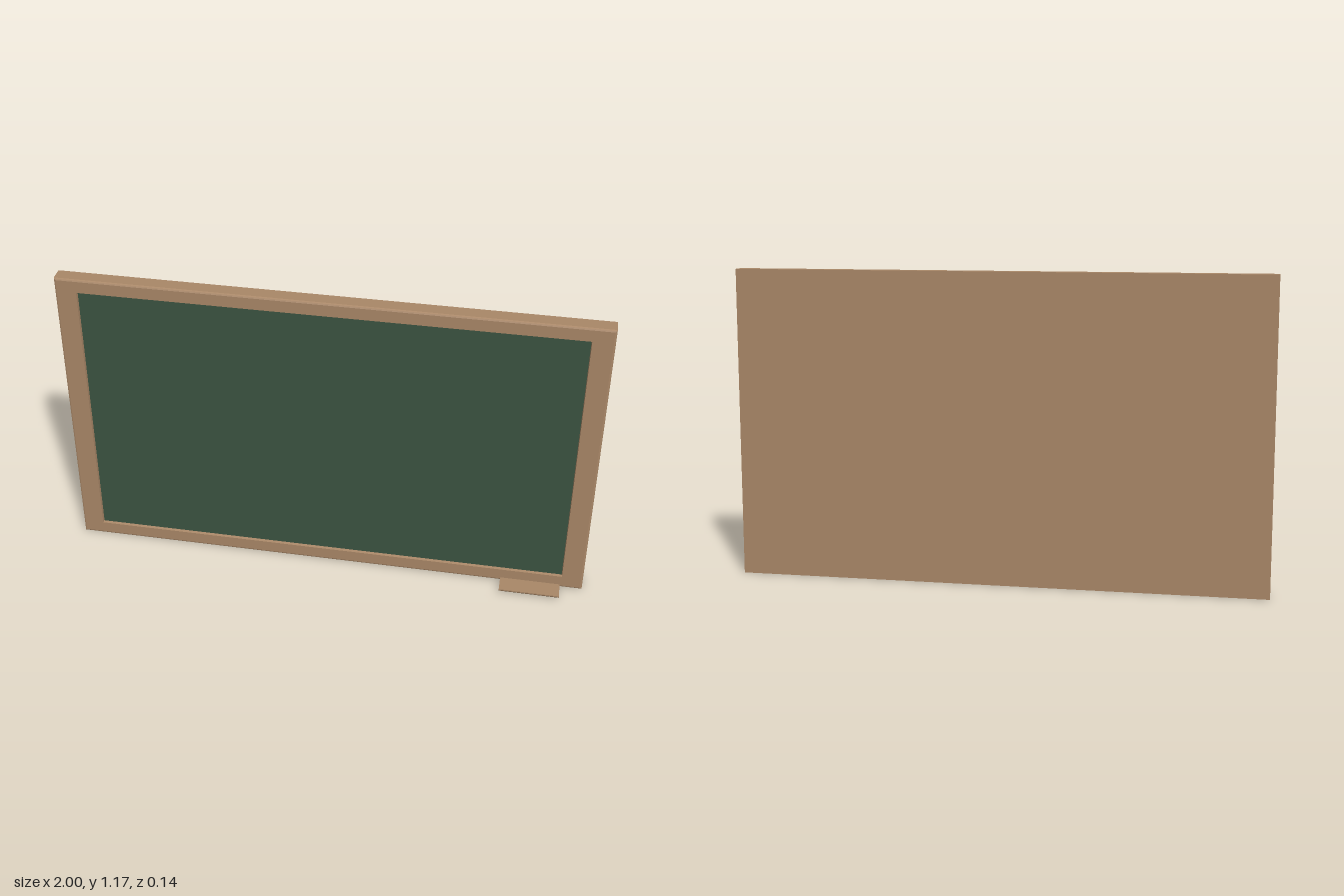
import * as THREE from 'three';

const H = 1.17;

// rectangular ring of four corners, counter-clockwise seen from the front
function ring(insetX, insetY, z) {
  const x = 1 - insetX, y0 = insetY, y1 = H - insetY;
  return [[-x, y0, z], [x, y0, z], [x, y1, z], [-x, y1, z]];
}

// joins successive rings with flat quads
function loftRings(rings, capBack) {
  const pos = [];
  const quad = (a, b, c, d) => pos.push(...a, ...b, ...c, ...a, ...c, ...d);
  for (let r = 0; r < rings.length - 1; r++) {
    const p = rings[r], q = rings[r + 1];
    for (let i = 0; i < 4; i++) {
      const j = (i + 1) % 4;
      quad(p[i], p[j], q[j], q[i]);
    }
  }
  if (capBack) quad(rings[0][3], rings[0][2], rings[0][1], rings[0][0]);
  const geo = new THREE.BufferGeometry();
  geo.setAttribute('position', new THREE.Float32BufferAttribute(pos, 3));
  geo.computeVertexNormals();
  return geo;
}

export function createModel() {
  const wood = new THREE.MeshStandardMaterial({ color: 0xa98767 });
  wood.name = 'wood';
  const green = new THREE.MeshStandardMaterial({ color: 0x3b5341 });
  green.name = 'boardGreen';

  const model = new THREE.Group();
  model.name = 'chalkboard';
  const add = (name, geo, mat) => {
    const mesh = new THREE.Mesh(geo, mat);
    mesh.name = name;
    model.add(mesh);
    return mesh;
  };

  // frame: solid back, rounded front edge, stepped opening
  add('frame', loftRings([
    ring(0, 0, -0.07),
    ring(0, 0, -0.017),
    ring(0.002, 0.002, -0.012),
    ring(0.007, 0.007, -0.01),
    ring(0.08, 0.052, -0.01),
    ring(0.082, 0.054, -0.021),
  ], true), wood);

  // writing surface, set back in the frame
  const board = add('writingSurface', new THREE.PlaneGeometry(1.836, H - 0.108), green);
  board.position.set(0, H / 2, -0.021);

  // chalk tray: thin shelf with an upturned front lip, drawn as (z, y)
  const profile = new THREE.Shape([
    [-0.012, 0.007], [0.062, 0.007], [0.07, 0.016], [0.07, 0.021],
    [0.06, 0.012], [-0.012, 0.012],
  ].map(([z, y]) => new THREE.Vector2(z, y)));
  const tray = new THREE.ExtrudeGeometry(profile, { depth: 0.23, bevelEnabled: false });
  tray.rotateY(-Math.PI / 2);
  tray.translate(0.915, 0, 0);
  add('chalkTray', tray, wood);

  return model;
}
